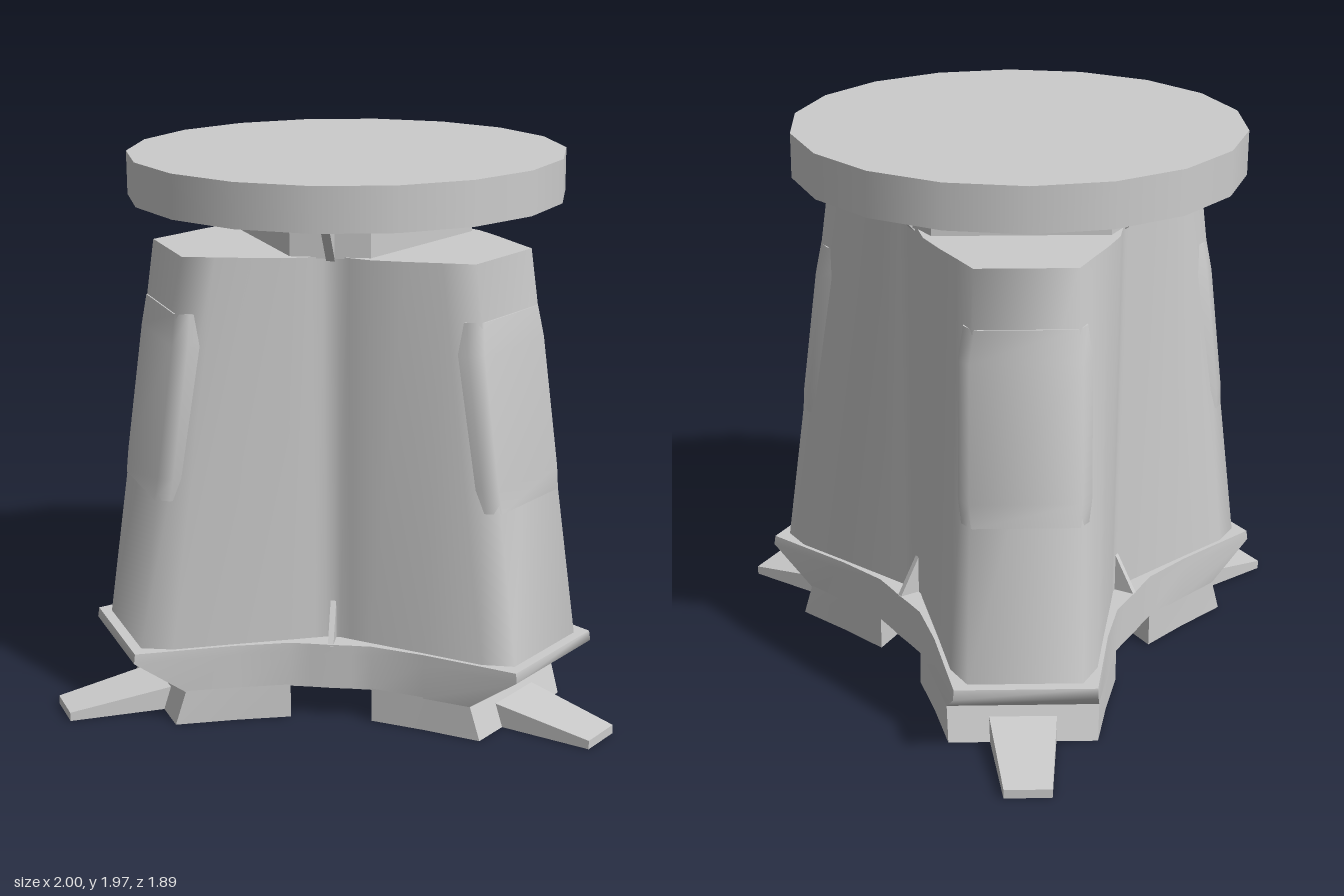
import * as THREE from 'three';
import { toCreasedNormals } from 'three/addons/utils/BufferGeometryUtils.js';

const THIRD = Math.PI * 2 / 3;

// Mirrors half a lobe outline ([x, z] from end corner inwards) into a full one
function mirrorHalf(half) {
  return [...half.slice().reverse().map(([x, z]) => [-x, z]), ...half];
}

// Repeats an outline piece three times around y
function aroundY(piece) {
  const ring = [];
  for (let k = 0; k < 3; k++) {
    const c = Math.cos(k * THIRD), s = Math.sin(k * THIRD);
    for (const [x, z] of piece) ring.push([x * c + z * s, z * c - x * s]);
  }
  return ring;
}

// Solid through stacked outlines: layers = [[y, ring], ...] from the bottom up
function loft(layers, crease) {
  const n = layers[0][1].length, pos = [], index = [];
  for (const [y, ring] of layers) for (const [x, z] of ring) pos.push(x, y, z);
  for (let l = 0; l < layers.length - 1; l++) {
    for (let i = 0; i < n; i++) {
      const a = l * n + i, b = l * n + (i + 1) % n;
      index.push(a, b, b + n, a, b + n, a + n);
    }
  }
  const cap = (ring, base, up) => {
    const flat = ring.map(([x, z]) => new THREE.Vector2(x, -z));
    for (const [a, b, c] of THREE.ShapeUtils.triangulateShape(flat, [])) {
      index.push(base + a, base + (up ? b : c), base + (up ? c : b));
    }
  };
  cap(layers[0][1], 0, false);
  cap(layers.at(-1)[1], (layers.length - 1) * n, true);
  const g = new THREE.BufferGeometry();
  g.setAttribute('position', new THREE.Float32BufferAttribute(pos, 3));
  g.setIndex(index);
  return toCreasedNormals(g, crease);
}

// Plate from a side outline, centred on its thickness
function plate(points, depth) {
  const shape = new THREE.Shape(points.map(([x, y]) => new THREE.Vector2(x, y)));
  const g = new THREE.ExtrudeGeometry(shape, { depth, bevelEnabled: false });
  return g.translate(0, 0, -depth / 2);
}

export function createModel() {
  const grey = new THREE.MeshStandardMaterial({ color: 0xcccccc });
  grey.name = 'plain grey';
  const model = new THREE.Group();
  model.name = 'pedestal';
  const axis = new THREE.Group();
  axis.name = 'towerAxis';
  axis.position.z = -0.167;
  model.add(axis);

  const add = (name, geometry, parent = axis) => {
    const mesh = new THREE.Mesh(geometry, grey);
    mesh.name = name;
    parent.add(mesh);
    return mesh;
  };

  // Base slab with undercut lobe ends; the last point of each half is the shared valley
  const baseRing = (w, d) => aroundY(mirrorHalf(
    [[w, d], [0.3, 0.56], [0.35, 0.37], [0.387, 0.305], [0.424, 0.245]]).slice(0, -1));
  add('baseSlab', loft([
    [0.12, baseRing(0.26, 0.73)],
    [0.25, baseRing(0.24, 0.91)],
    [0.285, baseRing(0.238, 0.905)],
  ], 1.1));

  // Tapered body: bevelled lobe ends, nearly straight sides, rounded valleys
  const bodyRing = (end, ridge, side) => aroundY(mirrorHalf(
    [end, ridge, side, [0.325, 0.35], [0.34, 0.27], [0.347, 0.23], [0.358, 0.207]]).slice(0, -1));
  add('body', loft([
    [0.28, bodyRing([0.192, 0.87], [0.247, 0.77], [0.285, 0.56])],
    [1.665, bodyRing([0.168, 0.67], [0.218, 0.57], [0.275, 0.46])],
  ], 1.2));

  // Six-sided neck under the top
  const neckRing = aroundY([[-0.298, 0.332], [0.298, 0.332]]);
  add('neck', loft([[1.66, neckRing], [1.82, neckRing]], 0.1));

  // Round top
  add('topDisc', new THREE.CylinderGeometry(0.777, 0.777, 0.153, 18))
    .position.set(0.004, 1.8885, -0.004);

  // Foot pads, claws and end covers on the lobes; gussets in the valleys
  const padGeometry = loft([
    [0, mirrorHalf([[0.255, 0.77], [0.3, 0.56], [0.35, 0.37]])],
    [0.125, mirrorHalf([[0.26, 0.73], [0.3, 0.56], [0.35, 0.37]])],
  ].map(([y, ring]) => [y, ring]), 0.3);

  const clawRing = mirrorHalf([[0.08, 1.107], [0.12, 0.7]]);
  const clawGeometry = loft([[0, clawRing], [0.09, clawRing]], 0.1);
  const p = clawGeometry.attributes.position;
  for (let i = 0; i < p.count; i++) {
    if (p.getY(i) > 0.05 && p.getZ(i) > 1) p.setY(i, 0.032);
  }
  clawGeometry.computeVertexNormals();

  const coverLayer = (y, w) => {
    const d = 0.87 - (y - 0.28) * 0.2 / 1.385;
    return [y, mirrorHalf([[w, d + 0.005], [w + 0.034, d - 0.04], [w + 0.03, d - 0.2]])];
  };
  const coverGeometry = loft([
    coverLayer(0.82, 0.175), coverLayer(0.9, 0.184), coverLayer(1.36, 0.182), coverLayer(1.47, 0.165),
  ], 1.2);

  const lowerGusset = plate([[0.39, 0.28], [0.49, 0.28], [0.41, 0.43], [0.39, 0.43]], 0.02);
  const upperGusset = plate([[0.38, 1.65], [0.418, 1.65], [0.57, 1.815], [0.38, 1.815]], 0.03);

  for (let k = 0; k < 3; k++) {
    const lobe = new THREE.Group();
    lobe.name = 'lobe' + (k + 1);
    lobe.rotation.y = k * THIRD;
    axis.add(lobe);
    add('footPad', padGeometry, lobe);
    add('footClaw', clawGeometry, lobe);
    add('endCover', coverGeometry, lobe);

    const valley = new THREE.Group();
    valley.name = 'valley' + (k + 1);
    valley.rotation.y = k * THIRD + Math.PI / 3 - Math.PI / 2;
    axis.add(valley);
    add('lowerGusset', lowerGusset, valley);
    add('upperGusset', upperGusset, valley);
  }
  return model;
}
